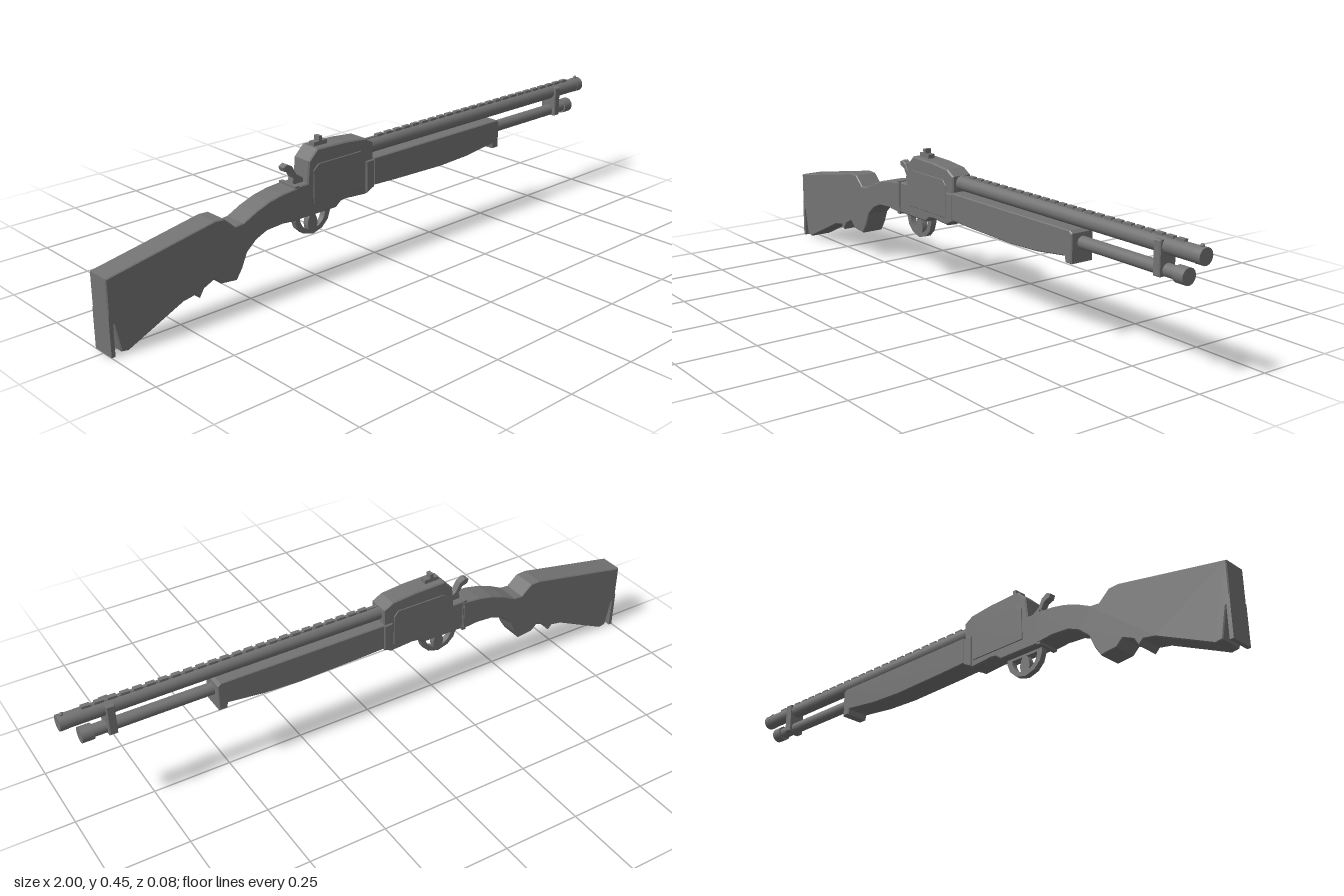
import * as THREE from 'three';

export function createModel() {
  const model = new THREE.Group();
  const gunmetal = new THREE.MeshStandardMaterial({ color: 0x737373 });
  gunmetal.name = 'gunmetal grey';

  const add = (name, geometry, x = 0, y = 0, z = 0) => {
    const mesh = new THREE.Mesh(geometry, gunmetal);
    mesh.name = name;
    mesh.position.set(x, y, z);
    model.add(mesh);
    return mesh;
  };
  const box = (name, x0, x1, y0, y1, halfZ) =>
    add(name, new THREE.BoxGeometry(x1 - x0, y1 - y0, halfZ * 2), (x0 + x1) / 2, (y0 + y1) / 2);
  // Rod along x
  const rod = (name, x0, x1, y, r) =>
    add(name, new THREE.CylinderGeometry(r, r, x1 - x0, 24).rotateZ(-Math.PI / 2), (x0 + x1) / 2, y);
  // Side outline extruded evenly about z = 0, with a small inset bevel
  const slab = (name, points, halfZ, bevel = 0.004, holes = []) => {
    const shape = new THREE.Shape(points.map(([x, y]) => new THREE.Vector2(x, y)));
    shape.holes.push(...holes);
    const geometry = new THREE.ExtrudeGeometry(shape, {
      depth: 2 * (halfZ - bevel), bevelEnabled: bevel > 0, bevelSize: bevel,
      bevelThickness: bevel, bevelOffset: -bevel, bevelSegments: 1, curveSegments: 10,
    });
    geometry.translate(0, 0, bevel - halfZ);
    return add(name, geometry);
  };

  // Stock: butt, finger step and slim wrist
  slab('stock', [
    [-1, 0.235], [-1, 0.12], [-0.985, 0.1], [-0.968, 0.012], [-0.945, 0.008], [-0.76, 0.093],
    [-0.72, 0.1], [-0.705, 0.085], [-0.69, 0.11], [-0.652, 0.127], [-0.63, 0.106],
    [-0.575, 0.1], [-0.555, 0.13], [-0.535, 0.175], [-0.5, 0.205], [-0.46, 0.222],
    [-0.4, 0.226], [-0.34, 0.22], [-0.34, 0.323], [-0.4, 0.318], [-0.45, 0.308],
    [-0.5, 0.29], [-0.545, 0.268], [-0.575, 0.266], [-0.612, 0.299], [-0.645, 0.301],
  ], 0.04, 0.003);
  box('buttSpur', -1, -0.988, 0.004, 0.13, 0.04);

  // Receiver with raised side panel
  slab('receiver', [
    [-0.345, 0.22], [-0.19, 0.22], [-0.17, 0.235], [-0.15, 0.238], [-0.07, 0.232],
    [-0.038, 0.25], [-0.038, 0.395], [-0.07, 0.413], [-0.15, 0.421], [-0.262, 0.424],
    [-0.295, 0.392], [-0.302, 0.325], [-0.345, 0.325],
  ], 0.035);
  slab('sidePanel', [
    [-0.28, 0.255], [-0.075, 0.255], [-0.075, 0.36], [-0.09, 0.378],
    [-0.26, 0.378], [-0.28, 0.36],
  ], 0.0375, 0.0015);
  slab('receiverCollar', [
    [-0.07, 0.235], [-0.038, 0.25], [-0.038, 0.34], [-0.07, 0.34],
  ], 0.04, 0.003);
  box('wristCollar', -0.352, -0.338, 0.216, 0.328, 0.0385);

  // Hammer
  slab('hammer', [
    [-0.375, 0.385], [-0.36, 0.393], [-0.34, 0.382], [-0.325, 0.355], [-0.295, 0.335],
    [-0.295, 0.315], [-0.345, 0.315], [-0.338, 0.345], [-0.35, 0.365], [-0.37, 0.372],
  ], 0.012, 0.002);

  // Rear sight
  box('rearSightBase', -0.255, -0.205, 0.42, 0.436, 0.011);
  box('rearSightBlade', -0.236, -0.224, 0.434, 0.451, 0.011);

  // Trigger guard with two openings, leaving the trigger between them
  const openings = [-1, 1].map((side) => {
    const c = -0.265, p = new THREE.Path();
    p.moveTo(c + side * 0.008, 0.212);
    p.lineTo(c + side * 0.05, 0.212);
    p.quadraticCurveTo(c + side * 0.048, 0.178, c + side * 0.016, 0.166);
    p.quadraticCurveTo(c + side * 0.024, 0.19, c + side * 0.008, 0.212);
    return p;
  });
  slab('triggerGuard', [
    [-0.335, 0.228], [-0.335, 0.208], [-0.325, 0.18], [-0.302, 0.158], [-0.265, 0.147],
    [-0.228, 0.158], [-0.205, 0.18], [-0.195, 0.208], [-0.195, 0.228],
  ], 0.01, 0, openings);

  // Pump forearm
  slab('forearm', [
    [-0.038, 0.255], [0.06, 0.251], [0.26, 0.246], [0.38, 0.251], [0.505, 0.266],
    [0.508, 0.248], [0.535, 0.248], [0.535, 0.336], [0.525, 0.344], [-0.038, 0.344],
  ], 0.04, 0.003);

  // Barrel, magazine tube and its cap
  rod('barrel', -0.06, 0.995, 0.372, 0.0235);
  rod('muzzleRing', 0.975, 1, 0.372, 0.0245);
  rod('magazineTube', -0.04, 0.93, 0.306, 0.019);
  rod('magazineCap', 0.908, 0.945, 0.306, 0.0245);

  // Band joining barrel and tube
  slab('barrelBand', [
    [0.842, 0.29], [0.868, 0.29], [0.868, 0.39], [0.842, 0.39],
  ], 0.03, 0.003);

  // Segmented sighting rib and front bead
  box('ribBase', -0.038, 0.93, 0.39, 0.397, 0.005);
  for (let i = 0; i < 24; i++) {
    const x = 0.005 + i * 0.039;
    box('ribSegment', x, x + 0.027, 0.394, 0.402, 0.007);
  }
  add('frontBead', new THREE.SphereGeometry(0.006, 12, 8), 0.985, 0.398);

  return model;
}
